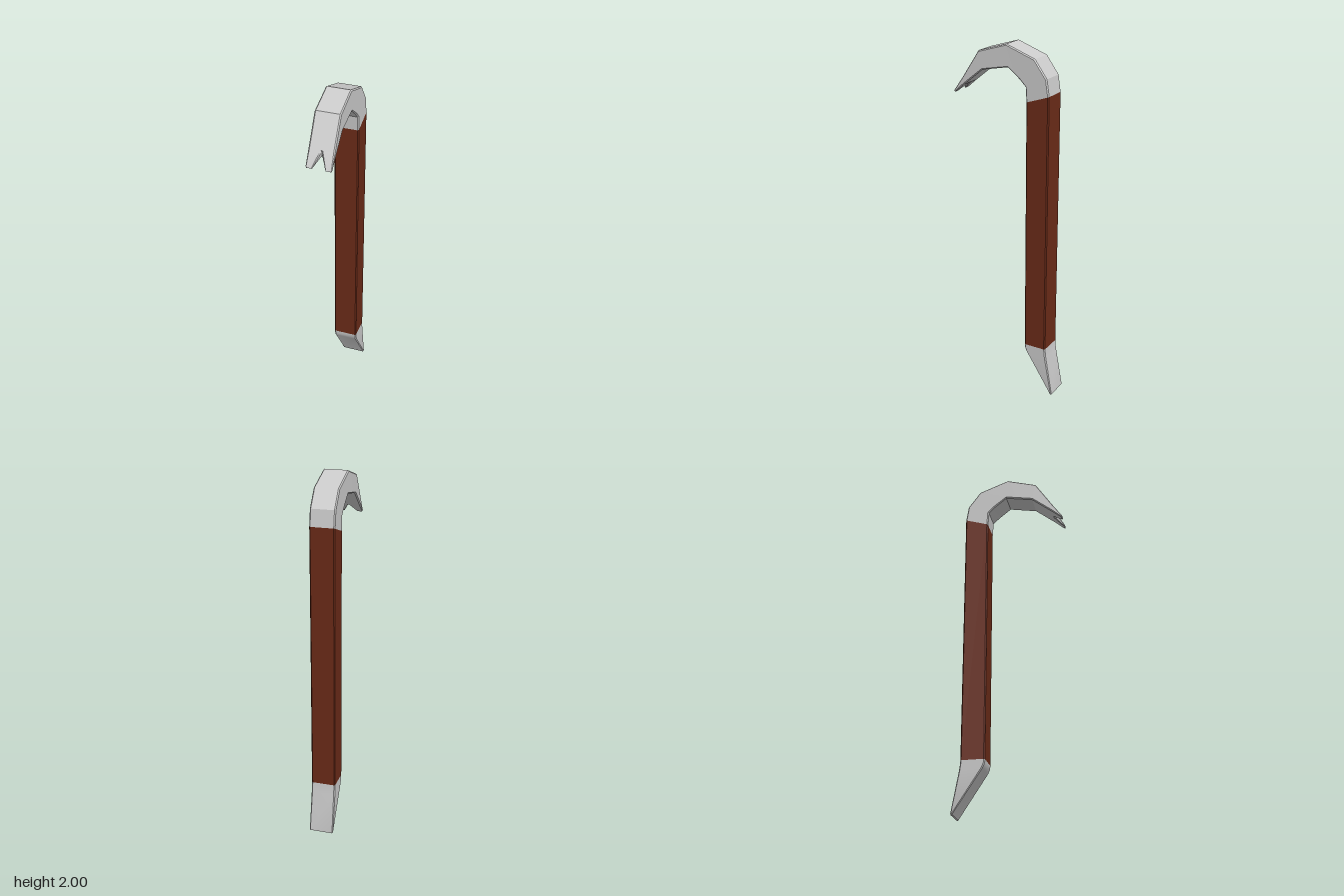
import * as THREE from 'three';
import { toCreasedNormals } from 'three/addons/utils/BufferGeometryUtils.js';

// One cross-section: inner and outer edge as [z, y], plus its range in x.
const sec = (inner, outer, x0 = -0.072, x1 = 0.064) => ({ inner, outer, x0, x1 });

// Eight points of a bevelled rectangle
function ring({ inner, outer, x0, x1 }) {
  const thick = Math.hypot(outer[0] - inner[0], outer[1] - inner[1]);
  const b = Math.min(0.006, thick * 0.3), k = b / thick;
  const pts = [
    [x0 + b, 0], [x1 - b, 0], [x1, k], [x1, 1 - k],
    [x1 - b, 1], [x0 + b, 1], [x0, 1 - k], [x0, k],
  ];
  return pts.map(([x, t]) => [
    x,
    inner[1] + (outer[1] - inner[1]) * t,
    inner[0] + (outer[0] - inner[0]) * t,
  ]);
}

// Skin a row of cross-sections, optionally closing the ends
function loft(sections, capStart, capEnd) {
  const rings = sections.map(ring), n = 8, index = [];
  for (let i = 0; i < rings.length - 1; i++) {
    for (let j = 0; j < n; j++) {
      const a = i * n + j, b = i * n + (j + 1) % n;
      index.push(a, b, b + n, a, b + n, a + n);
    }
  }
  const last = (rings.length - 1) * n;
  for (let j = 1; j < n - 1; j++) {
    if (capStart) index.push(0, j + 1, j);
    if (capEnd) index.push(last, last + j, last + j + 1);
  }
  const geo = new THREE.BufferGeometry();
  geo.setAttribute('position', new THREE.Float32BufferAttribute(rings.flat(2), 3));
  geo.setIndex(index);
  return toCreasedNormals(geo, 0.4);
}

export function createModel() {
  const group = new THREE.Group();
  const steel = new THREE.MeshStandardMaterial({ color: 0xcccccc });
  const paint = new THREE.MeshStandardMaterial({ color: 0x6b2b18 });
  const add = (name, material, sections, capStart = false, capEnd = false) => {
    const mesh = new THREE.Mesh(loft(sections, capStart, capEnd), material);
    mesh.name = name;
    group.add(mesh);
  };

  // Chisel end, from its sharp foot up to the handle
  add('chiselEnd', steel, [
    sec([-0.298, 0], [-0.308, 0], -0.07, 0.062),
    sec([-0.295, 0.008], [-0.308, 0.008]),
    sec([-0.142, 0.24], [-0.268, 0.23]),
    sec([-0.131, 0.265], [-0.264, 0.262]),
    sec([-0.13, 0.285], [-0.262, 0.285]),
  ], true);

  // Painted handle with a slanted top edge
  add('handle', paint, [
    sec([-0.13, 0.285], [-0.262, 0.285]),
    sec([-0.13, 1.71], [-0.262, 1.755]),
  ]);

  // Curved neck, up and over to the front
  add('hook', steel, [
    sec([-0.13, 1.71], [-0.262, 1.755]),
    sec([-0.125, 1.79], [-0.248, 1.845]),
    sec([-0.09, 1.825], [-0.178, 1.94]),
    sec([-0.02, 1.88], [-0.01, 2]),
    sec([0.135, 1.85], [0.156, 1.95], -0.07, 0.067),
    sec([0.25, 1.757], [0.258, 1.794], -0.067, 0.07),
  ], false, true);

  // Two claws on either side of the V notch
  const claws = [
    ['rightClaw', [-0.067, 0.002], [-0.065, -0.028], [-0.061, -0.032]],
    ['leftClaw', [0.002, 0.07], [0.036, 0.072], [0.04, 0.068]],
  ];
  for (const [name, root, edge, tip] of claws) {
    add(name, steel, [
      sec([0.25, 1.757], [0.258, 1.794], ...root),
      sec([0.298, 1.716], [0.307, 1.722], ...edge),
      sec([0.304, 1.711], [0.31, 1.715], ...tip),
    ], false, true);
  }

  return group;
}
